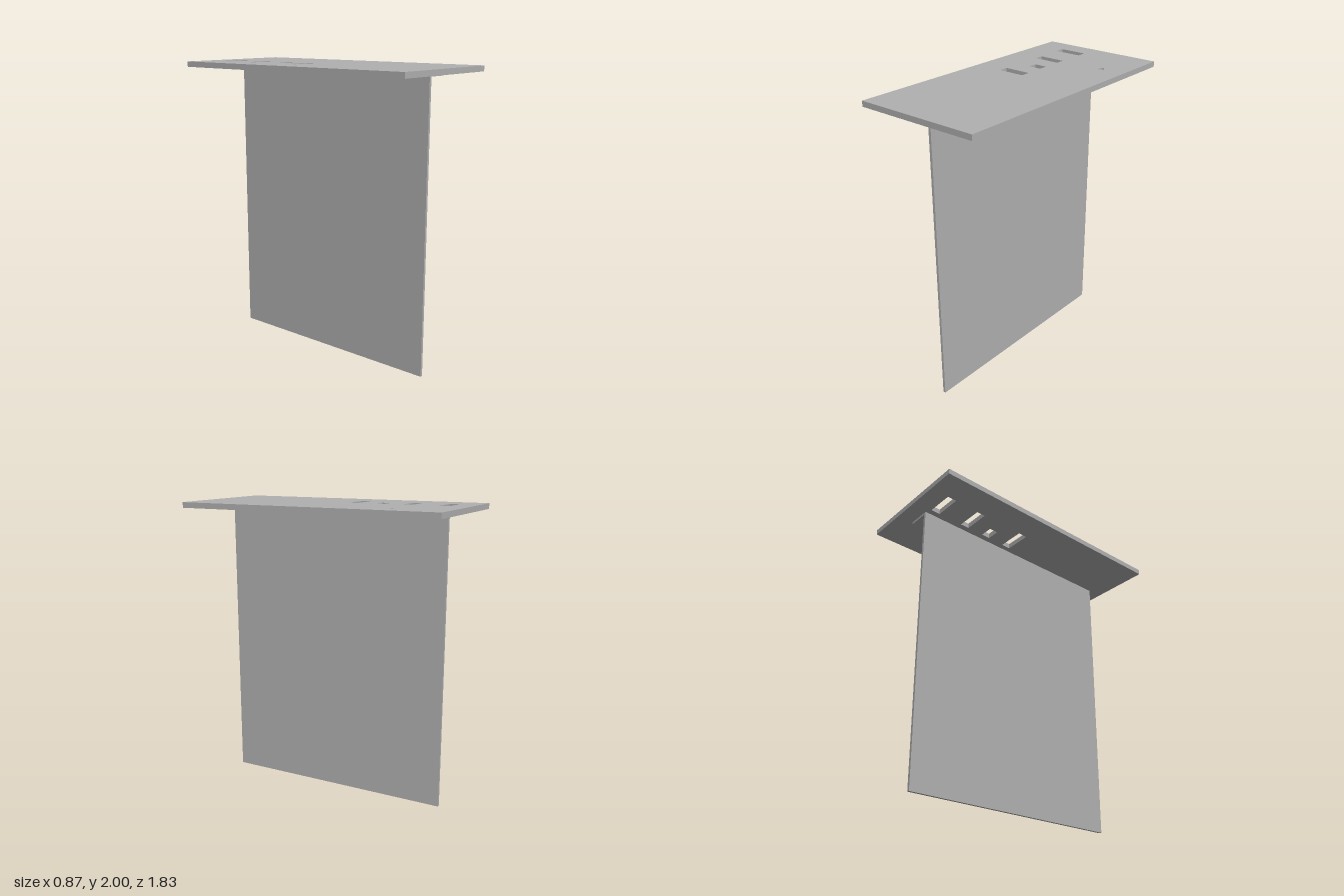
import * as THREE from 'three';

const TOP = 2, UNDERSIDE = 1.963;

// Rectangular outline from opposite corners
function rect(PathType, x0, z0, x1, z1) {
  const p = new PathType();
  p.moveTo(x0, -z1);
  p.lineTo(x1, -z1);
  p.lineTo(x1, -z0);
  p.lineTo(x0, -z0);
  p.closePath();
  return p;
}

export function createModel() {
  const group = new THREE.Group();
  const grey = new THREE.MeshStandardMaterial({ color: 0xb0b0b0 });
  grey.name = 'plain grey';

  const add = (name, geometry) => {
    const mesh = new THREE.Mesh(geometry, grey);
    mesh.name = name;
    group.add(mesh);
    return mesh;
  };

  // Top slab with four slots and a round hole
  const slab = rect(THREE.Shape, -0.437, -0.914, 0.437, 0.914);
  const slots = [
    [-0.242, -0.78, -0.052, -0.713],
    [-0.236, -0.529, -0.052, -0.465],
    [-0.144, -0.341, -0.052, -0.277],
    [-0.236, -0.15, -0.047, -0.083],
  ];
  for (const s of slots) slab.holes.push(rect(THREE.Path, ...s));
  const hole = new THREE.Path();
  hole.absarc(0.263, 0.53, 0.019, 0, Math.PI * 2, true);
  slab.holes.push(hole);
  const slabGeometry = new THREE.ExtrudeGeometry(slab, {
    depth: TOP - UNDERSIDE, bevelEnabled: false, curveSegments: 24,
  });
  slabGeometry.rotateX(-Math.PI / 2);
  add('topSlab', slabGeometry).position.y = UNDERSIDE;

  // Upright panel bent into a flange under the slab, one L-shaped section
  const section = new THREE.Shape([
    [-0.01, 0], [0.008, 0], [0.008, 1.947], [0.15, 1.947], [0.15, UNDERSIDE], [-0.01, UNDERSIDE],
  ].map(([x, y]) => new THREE.Vector2(x, y)));
  const panelGeometry = new THREE.ExtrudeGeometry(section, { depth: 1.6, bevelEnabled: false });
  panelGeometry.translate(0, 0, -0.8);
  add('uprightPanelWithFlange', panelGeometry);

  return group;
}
